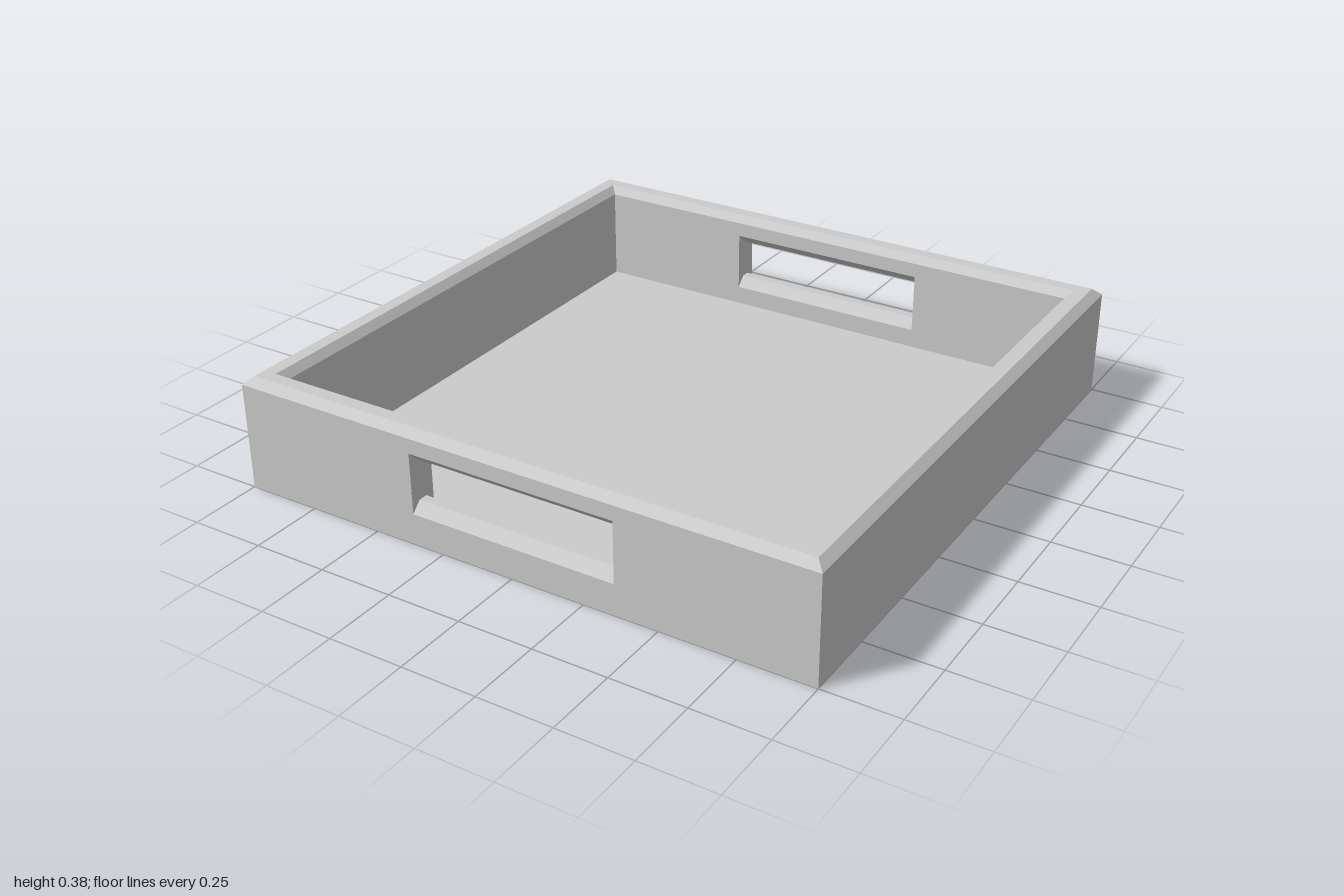
import * as THREE from 'three';

const OUT = 1, IN = 0.903;             // outer and inner faces of the walls
const WALL = 0.36, TOP = 0.385;        // wall height below the rim, full height
const HOLE = { w: 0.355, y0: 0.105, y1: 0.31, c: 0.033 };

export function createModel() {
  const tray = new THREE.Group();
  tray.name = 'tray';
  const material = new THREE.MeshStandardMaterial({ color: 0xcccccc, flatShading: true });

  const add = (parent, name, geometry, x = 0, y = 0, z = 0) => {
    const mesh = new THREE.Mesh(geometry, material);
    mesh.name = name;
    mesh.position.set(x, y, z);
    parent.add(mesh);
    return mesh;
  };

  // Bar along x from a [z, y] cross-section
  const bar = (points, length) => {
    const shape = new THREE.Shape(points.map(([z, y]) => new THREE.Vector2(-z, y)));
    const geometry = new THREE.ExtrudeGeometry(shape, { depth: length, bevelEnabled: false });
    geometry.translate(0, 0, -length / 2);
    return geometry.rotateY(Math.PI / 2);
  };

  // Base and the slightly raised floor panel
  add(tray, 'base', new THREE.BoxGeometry(2 * IN, 0.04, 2 * IN), 0, 0.02, 0);
  add(tray, 'floorPanel', new THREE.BoxGeometry(1.7, 0.025, 1.7), 0, 0.0525, 0);

  // Plain side walls
  const t = OUT - IN, mid = (OUT + IN) / 2;
  for (const s of [1, -1]) {
    add(tray, s > 0 ? 'leftWall' : 'rightWall',
      new THREE.BoxGeometry(t, WALL, 2 * OUT), s * mid, WALL / 2, 0);
  }

  // Front and back walls, each with a handle slot chamfered above and below
  const { w, y0, y1, c } = HOLE;
  const sill = [[IN, 0], [OUT, 0], [OUT, y0], [OUT - c, y0 + c], [IN + c, y0 + c], [IN, y0]];
  const grip = [[IN, y1], [IN + c, y1 - c], [OUT - c, y1 - c], [OUT, y1], [OUT, WALL], [IN, WALL]];
  for (const name of ['frontWall', 'backWall']) {
    const wall = new THREE.Group();
    wall.name = name;
    if (name === 'backWall') wall.rotation.y = Math.PI;
    add(wall, 'handleSill', bar(sill, 2 * w));
    add(wall, 'handleGrip', bar(grip, 2 * w));
    for (const s of [1, -1]) {
      add(wall, 'wallBlock', new THREE.BoxGeometry(IN - w, WALL, t), s * (IN + w) / 2, WALL / 2, mid);
    }
    tray.add(wall);
  }

  // Mitred rim, chamfered outside and inside
  const profile = [[OUT, WALL], [0.972, TOP], [0.927, TOP], [IN, WALL]]
    .map(([r, y]) => new THREE.Vector2(r * Math.SQRT2, y));
  const rim = new THREE.LatheGeometry(profile, 4, Math.PI / 4).toNonIndexed();
  rim.computeVertexNormals();
  add(tray, 'rim', rim);

  return tray;
}
